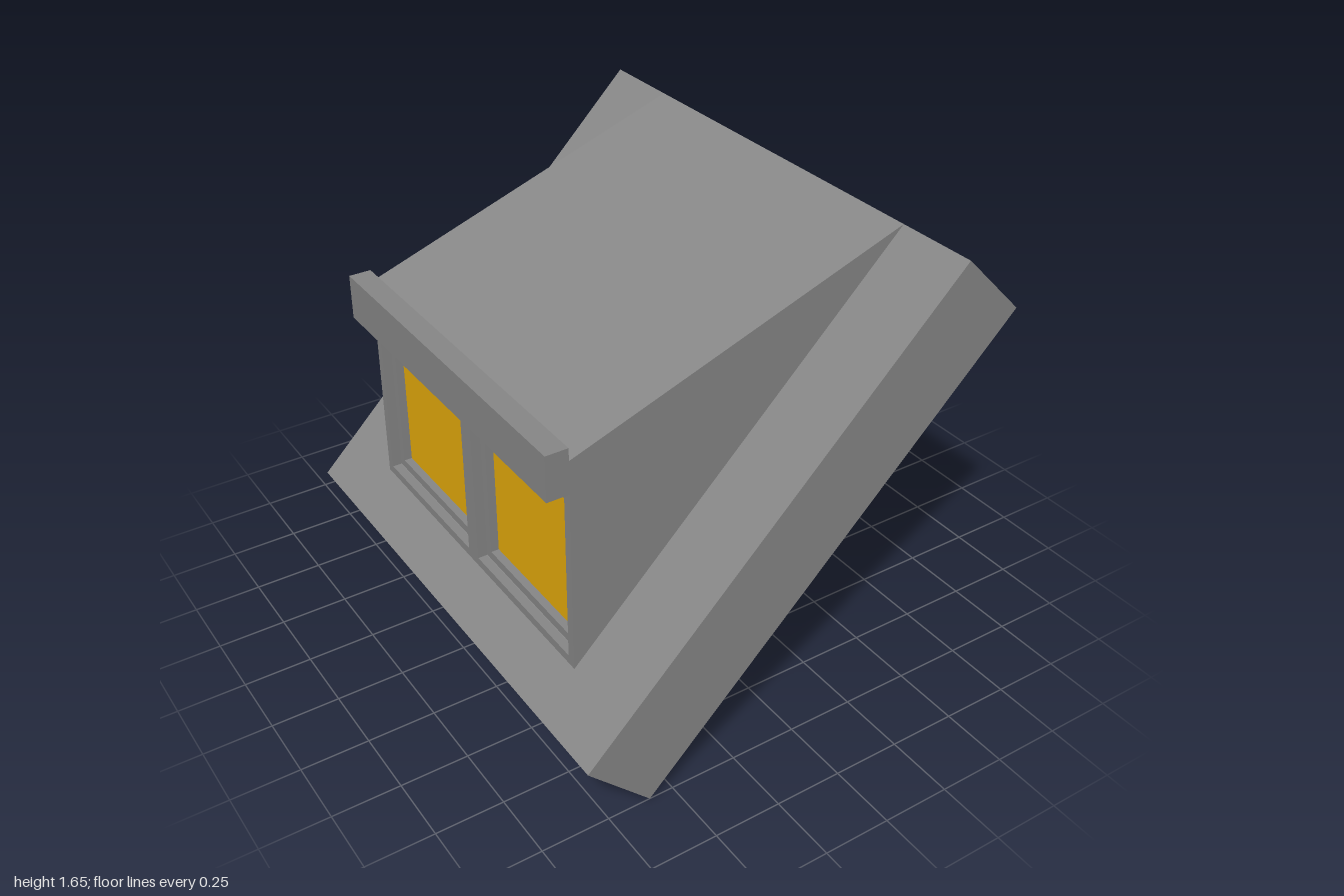
import * as THREE from 'three';

const grey = new THREE.MeshStandardMaterial({ color: 0x888888, flatShading: true });
const amber = new THREE.MeshStandardMaterial({ color: 0xe6ac0c, flatShading: true });

// Side profile in x/y, extruded symmetrically along z
function prism(name, points, width) {
  const shape = new THREE.Shape(points.map(([x, y]) => new THREE.Vector2(x, y)));
  const geo = new THREE.ExtrudeGeometry(shape, { depth: width, bevelEnabled: false });
  geo.translate(0, 0, -width / 2);
  const mesh = new THREE.Mesh(geo, grey);
  mesh.name = name;
  return mesh;
}

const rect = ([z0, z1, y0, y1]) =>
  [[z0, y0], [z1, y0], [z1, y1], [z0, y1]].map(([a, b]) => new THREE.Vector2(a, b));

const inset = ([z0, z1, y0, y1], d) => [z0 + d, z1 - d, y0 + d, y1 - d];

// Panel in the z/y plane with rectangular openings, from xFront back to xBack
function panel(name, outer, holes, xFront, xBack, material = grey) {
  const shape = new THREE.Shape(rect(outer));
  holes.forEach(h => shape.holes.push(new THREE.Path(rect(h))));
  const geo = new THREE.ExtrudeGeometry(shape, { depth: xBack - xFront, bevelEnabled: false });
  geo.rotateY(-Math.PI / 2).translate(xBack, 0, 0);
  const mesh = new THREE.Mesh(geo, material);
  mesh.name = name;
  return mesh;
}

export function createModel() {
  const model = new THREE.Group();
  model.name = 'roofDormer';

  const half = 0.69, front = -0.683, glassX = -0.613, bar = 0.035;
  const sill = 0.41, head = 1.077;

  // Sloping roof section
  model.add(prism('roofSlab', [[-0.59, 0], [0.825, 1.415], [0.59, 1.65], [-0.825, 0.235]], 2));

  // Dormer cheeks and shed roof, with a header above the window
  model.add(prism('dormerBody', [
    [glassX, 0.4], [0.59, 1.605], [0.59, 1.65], [front, 1.2], [front, head], [glassX, head],
  ], half * 2));

  // Fascia board along the eave
  const fascia = new THREE.Mesh(new THREE.BoxGeometry(0.083, 0.17, half * 2), grey);
  fascia.name = 'fascia';
  fascia.position.set(-0.7245, 1.162, 0);
  model.add(fascia);

  // Window: outer frame with two openings, each holding a sash and a pane
  const openings = [
    [-half + bar, -bar, sill, head - bar],
    [bar, half - bar, sill, head - bar],
  ];
  const win = new THREE.Group();
  win.name = 'window';
  win.add(panel('windowFrame', [-half, half, 0.36, head], openings, front, glassX));
  openings.forEach(o => {
    const glass = inset(o, bar);
    win.add(panel('sash', o, [glass], front + bar, glassX));
    win.add(panel('pane', glass, [], glassX - 0.005, glassX, amber));
  });
  model.add(win);

  return model;
}
